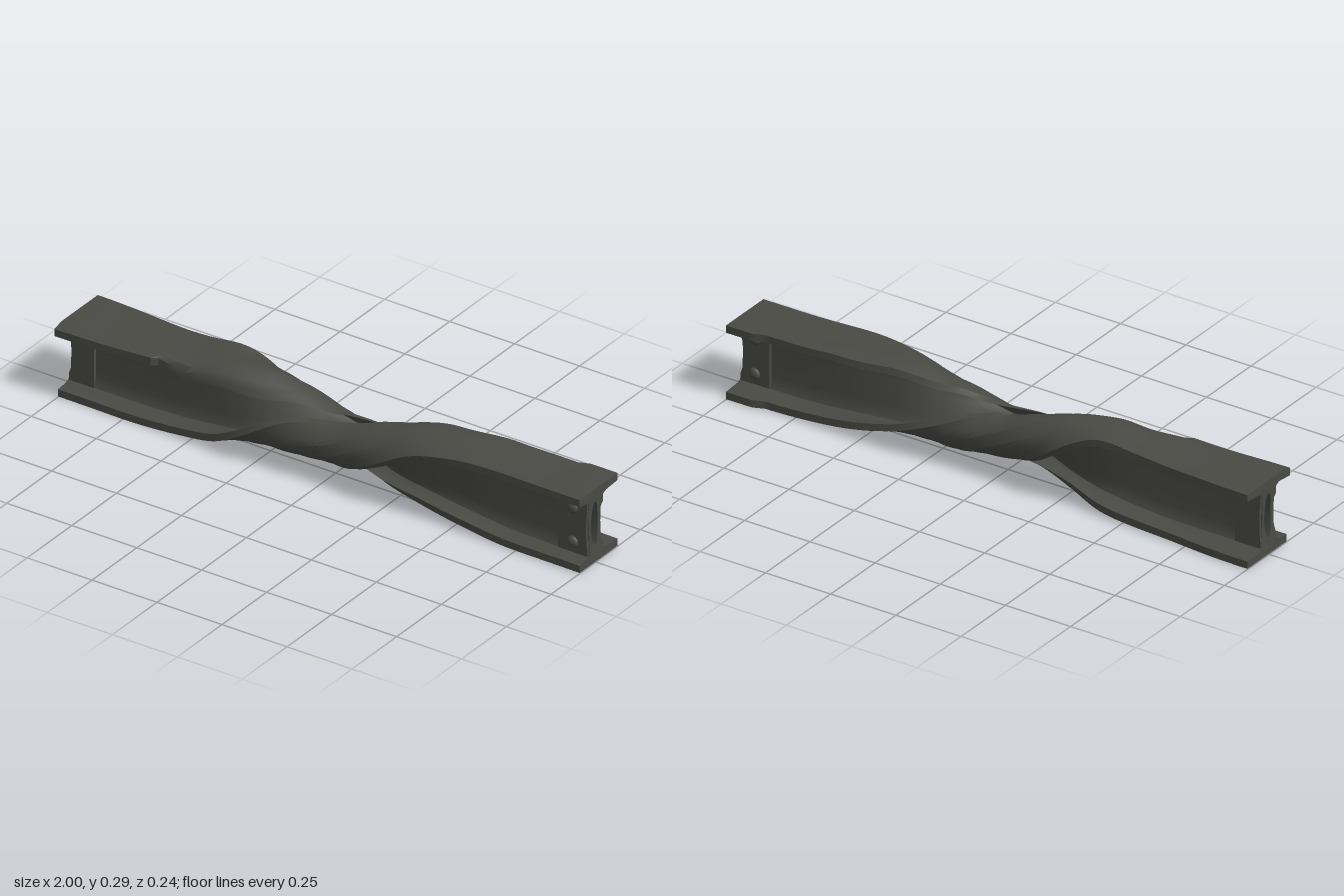
import * as THREE from 'three';
import { toCreasedNormals } from 'three/addons/utils/BufferGeometryUtils.js';

// Stations along the beam: x, then twist in degrees, section scale, axis height, lip curl
const STATIONS = [
  [-1, 0, 1, 0.138, 0], [-0.7, 0, 1, 0.138, 0], [-0.55, 0, 1, 0.144, 0],
  [-0.4, 4, 0.99, 0.158, 0.05], [-0.27, 21, 0.92, 0.163, 0.4], [-0.14, 51, 0.82, 0.155, 0.75],
  [0.03, 90, 0.73, 0.138, 0.8], [0.2, 138, 0.8, 0.145, 0.5], [0.35, 164, 0.88, 0.159, 0.2],
  [0.5, 174, 0.95, 0.156, 0.05], [0.7, 179, 0.99, 0.142, 0], [1, 180, 1, 0.138, 0],
];
const bend = new THREE.CubicInterpolant(
  STATIONS.map(s => s[0]), STATIONS.flatMap(s => s.slice(1)), 4, [0, 0, 0, 0]);
const smooth = THREE.MathUtils.smoothstep;

// I-section with filleted flanges and a narrow slot inside the web
function beamSection() {
  const quarter = [
    [0.034, 0], [0.034, 0.05], [0.035, 0.078], [0.042, 0.096], [0.058, 0.103], [0.08, 0.105],
    [0.1, 0.107], [0.1, 0.133], [0.08, 0.133], [0.055, 0.133], [0.03, 0.133],
  ];
  const mirror = (sx, sy, list) => list.map(([a, b]) => new THREE.Vector2(a * sx, b * sy));
  const back = [...quarter].reverse();
  const points = [
    ...mirror(1, 1, quarter), new THREE.Vector2(0, 0.133),
    ...mirror(-1, 1, back), ...mirror(-1, -1, quarter.slice(1)),
    new THREE.Vector2(0, -0.133), ...mirror(1, -1, back.slice(0, -1)),
  ];
  const shape = new THREE.Shape(points);
  const slot = new THREE.Path();
  slot.absellipse(0, 0, 0.018, 0.085, 0, Math.PI * 2, true);
  shape.holes.push(slot);
  return shape;
}

// Flange half width on each side of the web, with a torn step in the upper front flange
function flangeWidth(x, y, z) {
  if (z < 0) return x < 0 ? 0.1 + 0.022 * smooth(-x, 0.5, 1) : 0.1 - 0.01 * smooth(x, 0.4, 0.8);
  if (x > 0) return 0.1 + 0.006 * smooth(x, 0.4, 0.6) + 0.016 * smooth(x, 0.87, 0.89);
  if (y < 0) return 0.1;
  return x < -0.625 ? 0.105 + 0.015 * smooth(-x, 0.62, 1) : 0.09;
}

// Extra droop of the upper lips before the wrung middle: front on one half, back on the other
function lipSag(x, y, z) {
  if (z <= 0 || x * y >= 0) return 0;
  const sag = 0.4 * smooth(-Math.abs(x), -0.65, -0.45) + 0.5 * smooth(-Math.abs(x), -0.42, -0.22);
  return x < 0 ? sag : 0.6 * sag;
}

function twistedBeam() {
  const geometry = new THREE.ExtrudeGeometry(beamSection(), {
    depth: 2, steps: 100, bevelEnabled: false, curveSegments: 16,
  });
  const p = geometry.attributes.position;
  for (let i = 0; i < p.count; i++) {
    let x = p.getZ(i) - 1, y = p.getY(i), z = -p.getX(i);
    const [degrees, scale, axis, curl] = bend.evaluate(x);
    const side = Math.sign(z), half = Math.sign(y), reach = Math.abs(z);
    // Flange lips curl over the channels where the beam is wrung
    const lip = Math.max(0, (reach - 0.03) / 0.07) ** 1.6;
    if (Math.abs(y) > 0.09) y -= half * 0.09 * Math.max(curl, lipSag(x, y, z)) * lip;
    // Uneven flange edges
    if (reach > 0.09) {
      z = side * flangeWidth(x, y, z);
      y += 0.003 * Math.sin(x * 11 + side * 1.7 + half) * (1 - smooth(Math.abs(x), 0.6, 0.9));
      if (side > 0 && half > 0 && x < -0.5) y -= 0.01;
    }
    // The slot is open at the ends and pressed shut further in
    if (reach < 0.02 && Math.abs(x) < 0.85) z *= 0.1;
    // Slightly worn web at both ends
    if (Math.abs(x) > 0.995 && reach < 0.05)
      x -= Math.sign(x) * 0.006 * Math.max(0, 1 - (y / 0.095) ** 2);
    const a = THREE.MathUtils.degToRad(degrees), c = Math.cos(a), s = Math.sin(a);
    p.setXYZ(i, x, axis + scale * (y * c + z * s), scale * (z * c - y * s));
  }
  return toCreasedNormals(geometry, 0.6);
}

// Reinforcing plate with a worn outer edge
function plateGeometry(inner, wear) {
  const s = new THREE.Shape();
  s.moveTo(inner, 0.034);
  s.lineTo(0.997, 0.034);
  s.lineTo(0.997, 0.065);
  s.quadraticCurveTo(0.997 - wear, 0.138, 0.997, 0.205);
  s.lineTo(0.997, 0.24);
  s.lineTo(inner, 0.24);
  return new THREE.ExtrudeGeometry(s, { depth: 0.012, bevelEnabled: false, curveSegments: 8 });
}

export function createModel() {
  const steel = new THREE.MeshStandardMaterial({ color: 0x4a4a45 });
  steel.name = 'dark steel';
  const model = new THREE.Group();
  model.name = 'twistedBeam';
  const add = (name, geometry, parent = model) => {
    const mesh = new THREE.Mesh(geometry, steel);
    mesh.name = name;
    parent.add(mesh);
    return mesh;
  };
  add('beam', twistedBeam());

  // End plates on both faces of the web, riveted at the left end
  const rivet = new THREE.SphereGeometry(0.021, 14, 10);
  for (const [end, turn, inner] of [['left', 0, 0.885], ['right', Math.PI, 0.9]]) {
    const group = new THREE.Group();
    group.name = end + 'EndPlates';
    group.rotation.y = turn;
    model.add(group);
    for (const side of [1, -1]) {
      const plate = plateGeometry(inner, side > 0 ? 0.008 : 0.03);
      add('endPlate', plate, group).position.z = side > 0 ? 0.032 : -0.044;
      if (end === 'right') continue;
      for (const y of [0.08, 0.205]) {
        const head = add('rivet', rivet, group);
        head.position.set(0.942, y, side * 0.044);
        head.scale.z = 0.65;
      }
    }
  }
  return model;
}
